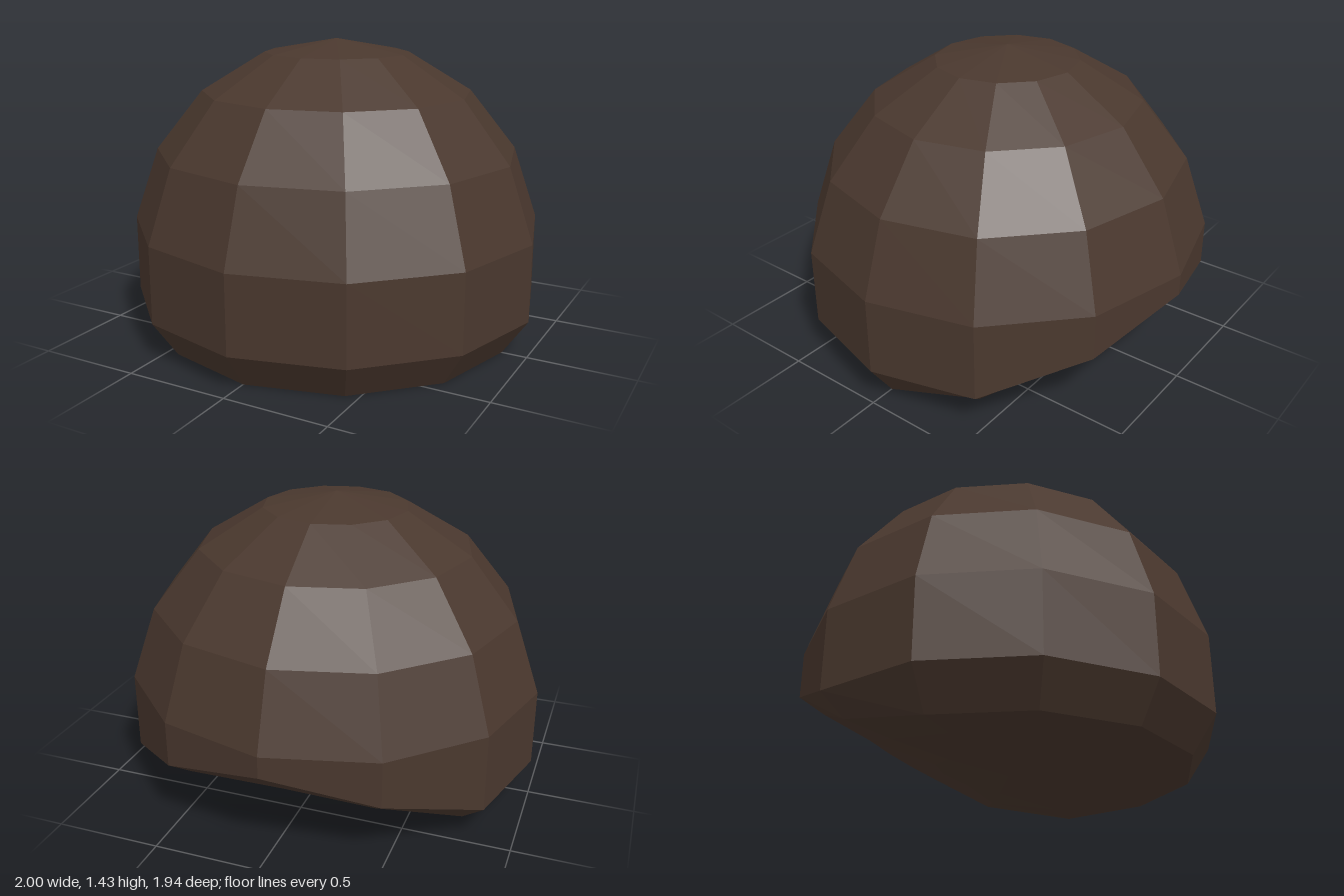
import * as THREE from 'three';

export function createModel() {
  const group = new THREE.Group();
  group.name = 'hairCap';

  // Faceted ball, scaled so its widest rings reach x = 1 and z = 0.97
  const geometry = new THREE.SphereGeometry(1, 12, 9);
  geometry.scale(1.0154, 1.065, 0.985);
  geometry.translate(0, 0.36, 0);

  // Underside: flat towards the front, sweeping upwards towards the back
  const pos = geometry.attributes.position;
  for (let i = 0; i < pos.count; i++) {
    const floor = 0.472 * Math.pow(Math.max(0, -pos.getZ(i)), 2.1);
    pos.setY(i, Math.max(pos.getY(i), floor));
  }
  geometry.computeVertexNormals();

  const material = new THREE.MeshStandardMaterial({ color: 0x4a382e, flatShading: true });
  const dome = new THREE.Mesh(geometry, material);
  dome.name = 'dome';
  group.add(dome);
  return group;
}
